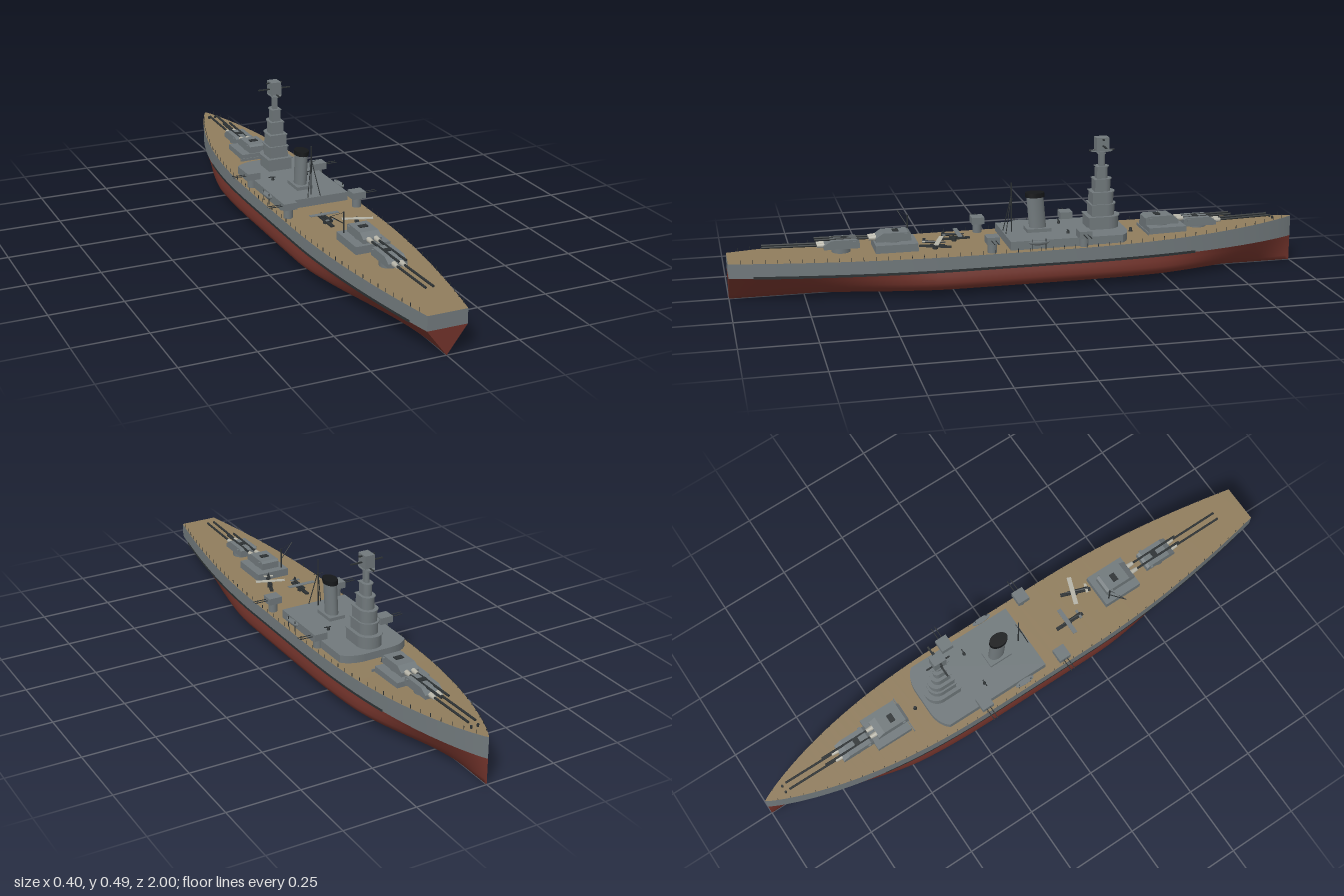
import * as THREE from 'three';
import { mergeGeometries } from 'three/addons/utils/BufferGeometryUtils.js';

const paint = (color, opts = {}) => new THREE.MeshStandardMaterial({ color, ...opts });
const grey = paint(0x70787b), dark = paint(0x2c3133), red = paint(0x70322a),
  wood = paint(0x8f7c5c), black = paint(0x151719), pale = paint(0xb4b2a6);

// Half breadth, deck height and underwater fullness along the ship (bow at -z)
const halfWidth = z => z < -0.15
  ? 0.153 * Math.max(0, 1 - ((-z - 0.15) / 0.85) ** 2.4) ** 0.9
  : 0.153 - (z > 0.25 ? 0.085 * ((z - 0.25) / 0.75) ** 1.8 : 0);
const deckY = z => 0.14 + (z < 0 ? 0.024 * z * z : 0);
const fullness = z => THREE.MathUtils.smoothstep(z, -1, -0.45) * (1 - THREE.MathUtils.smoothstep(z, 0.25, 1));

function add(parent, name, geo, mat, x = 0, y = 0, z = 0) {
  const m = new THREE.Mesh(geo, mat);
  m.name = name;
  m.position.set(x, y, z);
  parent.add(m);
  return m;
}
const box = (w, h, d) => new THREE.BoxGeometry(w, h, d);
const cyl = (r1, r2, h, n = 16) => new THREE.CylinderGeometry(r1, r2, h, n);

// Thin round bar between two points
function rod(parent, name, a, b, r, mat = dark) {
  const p = new THREE.Vector3(...a), q = new THREE.Vector3(...b), d = q.clone().sub(p);
  const m = add(parent, name, cyl(r, r, d.length(), 8), mat);
  m.position.copy(p).add(q).multiplyScalar(0.5);
  m.quaternion.setFromUnitVectors(new THREE.Vector3(0, 1, 0), d.normalize());
  return m;
}

// Skin a row of cross-sections running from z0 to z1
function skin(section, z0 = -1, z1 = 1, n = 56) {
  const pos = [], idx = [];
  let c = 0;
  for (let i = 0; i <= n; i++) {
    const z = z0 + (z1 - z0) * (i / n) ** 1.25, pts = section(z);
    c = pts.length;
    pts.forEach(([x, y]) => pos.push(x, y, z));
    for (let j = 0; i < n && j < c - 1; j++) {
      const a = i * c + j, b = a + c;
      idx.push(a, b, a + 1, b, b + 1, a + 1);
    }
  }
  const g = new THREE.BufferGeometry();
  g.setAttribute('position', new THREE.Float32BufferAttribute(pos, 3));
  g.setIndex(idx);
  g.computeVertexNormals();
  return g;
}

function buildHull(ship) {
  const full = [[1, 0.09], [1.03, 0.072], [1.05, 0.052], [1.01, 0.036], [0.88, 0.021], [0.64, 0.01], [0, 0]];
  const under = z => {
    const w = halfWidth(z), f = fullness(z);
    const half = full.map(([x, y], i) => {
      const s = 1 - i / 6;
      return [w * (s + (x - s) * f), 0.09 * s + (y - 0.09 * s) * f];
    });
    return [...half, ...half.slice(0, -1).reverse().map(([x, y]) => [-x, y])];
  };
  add(ship, 'lowerHull', skin(under), red);
  add(ship, 'deck', skin(z => [[-halfWidth(z), deckY(z)], [halfWidth(z), deckY(z)]]), wood);
  for (const s of [1, -1]) {
    const band = (lo, hi, out) => z => {
      const x = s * (halfWidth(z) + out), p = [[x, hi(z)], [x, lo]];
      return s > 0 ? p : p.reverse();
    };
    add(ship, 'hullSide', skin(band(0.09, deckY, 0)), grey);
    add(ship, 'waterlineStripe', skin(band(0.087, () => 0.096, 0.0008), -0.6, 0.92), dark);
  }
  // Flat stern
  const flat = pts => new THREE.ShapeGeometry(new THREE.Shape(pts.map(p => new THREE.Vector2(...p))));
  const w = halfWidth(1);
  add(ship, 'upperTransom', flat([[-w, 0.09], [w, 0.09], [w, 0.14], [-w, 0.14]]), grey, 0, 0, 1);
  add(ship, 'lowerTransom', flat([[0, 0], [w, 0.09], [-w, 0.09]]), red, 0, 0, 1);
  // Rail posts along the deck edge
  const posts = [];
  for (let z = -0.96; z < 1; z += 0.04) for (const s of [1, -1])
    posts.push(box(0.0015, 0.014, 0.0015).translate(s * (halfWidth(z) - 0.002), deckY(z) + 0.006, z));
  add(ship, 'railPosts', mergeGeometries(posts), dark);
}

// Twin-gun turret facing +z; flipped when dir is -1
function mainTurret(ship, y, z, dir, reach, base) {
  const t = new THREE.Group();
  t.name = 'mainTurret';
  t.position.set(0, y, z);
  if (dir < 0) t.rotation.y = Math.PI;
  ship.add(t);
  const side = new THREE.Shape([[-0.06, 0], [0.06, 0], [0.06, 0.014], [0.035, 0.03], [-0.05, 0.03], [-0.06, 0.024]]
    .map(p => new THREE.Vector2(...p)));
  const g = new THREE.ExtrudeGeometry(side, { depth: 0.066, bevelEnabled: false });
  add(t, 'gunHouse', g.translate(0, 0, -0.033).rotateY(-Math.PI / 2), grey);
  add(t, 'barbette', cyl(0.032, 0.032, base, 24), grey, 0, -base / 2, 0);
  add(t, 'rangefinder', box(0.078, 0.007, 0.01), grey, 0, 0.022, -0.042);
  add(t, 'roofHatch', box(0.03, 0.004, 0.02), dark, 0, 0.031, -0.01);
  for (const x of [-0.013, 0.013]) {
    add(t, 'gunSleeve', cyl(0.007, 0.009, 0.025).rotateX(Math.PI / 2), pale, x, 0.012, 0.07);
    rod(t, 'gunBarrel', [x, 0.012, 0.05], [x, 0.017, reach], 0.004);
  }
}

// Plan with a rounded bow end, extruded upward
function roundedTier(w, h) {
  const s = new THREE.Shape();
  s.moveTo(-w, -1.2 * w);
  s.lineTo(w, -1.2 * w);
  s.lineTo(w, 0.4 * w);
  s.absarc(0, 0.4 * w, w, 0, Math.PI);
  return new THREE.ExtrudeGeometry(s, { depth: h, bevelEnabled: false, curveSegments: 12 }).rotateX(-Math.PI / 2);
}

function buildSuperstructure(ship) {
  const s = new THREE.Shape();
  s.moveTo(-0.125, -0.06);
  s.lineTo(0.125, -0.06);
  s.lineTo(0.125, 0.335);
  s.quadraticCurveTo(0.1, 0.365, 0.05, 0.368);
  s.lineTo(-0.05, 0.368);
  s.quadraticCurveTo(-0.1, 0.365, -0.125, 0.335);
  add(ship, 'deckhouse', new THREE.ExtrudeGeometry(s, { depth: 0.035, bevelEnabled: false }).rotateX(-Math.PI / 2), grey, 0, 0.135, 0);

  // Bridge tower: stacked tiers, each with an overhanging platform
  const tower = new THREE.Group();
  tower.name = 'bridgeTower';
  tower.position.z = -0.29;
  ship.add(tower);
  [[0.044, 0.168, 0.213], [0.034, 0.213, 0.255], [0.031, 0.255, 0.298], [0.023, 0.298, 0.343],
    [0.016, 0.343, 0.387], [0.0085, 0.387, 0.44]].forEach(([w, y0, y1], i) => {
    add(tower, 'towerTier', roundedTier(w, y1 - y0), grey, 0, y0, 0);
    if (i < 5) add(tower, 'towerPlatform', roundedTier(w + 0.003, 0.003), grey, 0, y1 - 0.002, 0);
  });
  add(tower, 'upperPlatform', roundedTier(0.011, 0.003), grey, 0, 0.429, 0);
  add(tower, 'directorHead', box(0.036, 0.048, 0.045), grey, 0, 0.465, 0);
  add(tower, 'rangefinderArm', box(0.122, 0.004, 0.006), dark, 0, 0.461, 0);
  add(tower, 'rangefinderRing', cyl(0.03, 0.03, 0.003, 24), grey, 0, 0.441, 0).scale.set(0.75, 1, 1.3);
  rod(tower, 'sidewaysRangefinder', [0, 0.443, -0.045], [0, 0.443, 0.045], 0.003);
  add(tower, 'upperArm', box(0.06, 0.004, 0.006), dark, 0, 0.483, 0);

  // Raked oval funnel with a black cap
  const oval = (r, y0, y1) => {
    const g = cyl(r, r, y1 - y0, 28).scale(0.7, 1, 1).translate(0, (y0 + y1) / 2, 0), p = g.attributes.position;
    for (let i = 0; i < p.count; i++) p.setZ(i, p.getZ(i) - 0.064 + (p.getY(i) - 0.17) * 0.09);
    return g;
  };
  add(ship, 'funnel', oval(0.03, 0.165, 0.294), grey);
  add(ship, 'funnelCap', oval(0.034, 0.29, 0.306), black);
  add(ship, 'funnelBase', box(0.06, 0.016, 0.085), grey, 0, 0.174, -0.062);

  // Tripod mast
  rod(ship, 'mast', [0, 0.168, 0.03], [0, 0.345, 0.03], 0.0022);
  for (const x of [-0.024, 0.024]) rod(ship, 'mastLeg', [x, 0.168, 0.055], [0, 0.3, 0.03], 0.0015);
  rod(ship, 'mastYard', [-0.018, 0.29, 0.03], [0.018, 0.29, 0.03], 0.001);
}

function buildSideFittings(ship, s) {
  // Secondary turrets with barrels pointing outboard
  for (const z of [-0.195, 0.125]) {
    add(ship, 'secondaryPedestal', cyl(0.016, 0.016, 0.04), grey, s * 0.128, 0.155, z);
    add(ship, 'secondaryTurret', box(0.048, 0.024, 0.044), grey, s * 0.128, 0.185, z);
    for (const d of [-0.007, 0.007]) rod(ship, 'secondaryBarrel', [s * 0.15, 0.186, z + d], [s * 0.2, 0.187, z + d], 0.0016);
  }
  // Ship's boat hung on davits
  const boat = add(ship, 'shipsBoat', new THREE.SphereGeometry(1, 16, 8, 0, Math.PI * 2, Math.PI / 2, Math.PI / 2),
    paint(0x70787b, { side: THREE.DoubleSide }), s * 0.137, 0.168, -0.035);
  boat.scale.set(0.01, 0.012, 0.037);
  add(ship, 'boatCover', cyl(1, 1, 1, 16).scale(0.01, 0.002, 0.037), grey, s * 0.137, 0.168, -0.035);
  for (const z of [-0.058, -0.012]) rod(ship, 'davit', [s * 0.14, 0.14, z], [s * 0.14, 0.178, z], 0.0015);
  // Light gun mount
  add(ship, 'lightGunMount', cyl(0.004, 0.006, 0.012, 10), dark, s * 0.065, 0.175, -0.155);
  rod(ship, 'lightGun', [s * 0.055, 0.18, -0.155], [s * 0.08, 0.182, -0.155], 0.002);
  // Bow bollards and breakwater
  add(ship, 'bollard', cyl(0.004, 0.004, 0.01, 10), dark, s * 0.012, 0.165, -0.925);
  add(ship, 'breakwater', box(0.07, 0.01, 0.003), grey, s * 0.035, 0.149, -0.445);
}

function floatplane(ship, x, z, turn, wing) {
  const p = new THREE.Group();
  p.name = 'floatplane';
  p.position.set(x, 0.16, z);
  p.rotation.y = turn;
  ship.add(p);
  add(p, 'catapult', box(0.012, 0.006, 0.11), dark, 0, -0.011, 0);
  add(p, 'catapultPedestal', cyl(0.009, 0.009, 0.016), dark, 0, -0.014, 0);
  add(p, 'fuselage', cyl(0.0025, 0.006, 0.08, 12).rotateX(Math.PI / 2), dark, 0, 0.004, -0.005);
  add(p, 'wing', box(0.104, 0.002, 0.016), wing, 0, 0.009, 0.012);
  add(p, 'tailplane', box(0.034, 0.002, 0.009), wing, 0, 0.006, -0.038);
  add(p, 'tailFin', box(0.002, 0.012, 0.01), dark, 0, 0.011, -0.038);
  add(p, 'float', box(0.006, 0.005, 0.05), dark, 0, -0.005, 0.008);
}

export function createModel() {
  const ship = new THREE.Group();
  ship.name = 'battleship';
  buildHull(ship);
  buildSuperstructure(ship);

  // Main battery, the inner turret of each pair raised on a low house
  add(ship, 'forwardHouse', box(0.122, 0.028, 0.135), grey, 0, 0.153, -0.518);
  add(ship, 'aftHouse', box(0.122, 0.028, 0.145), grey, 0, 0.153, 0.437);
  mainTurret(ship, 0.157, -0.645, -1, 0.265, 0.02);
  mainTurret(ship, 0.171, -0.505, -1, 0.26, 0.015);
  mainTurret(ship, 0.171, 0.445, 1, 0.265, 0.015);
  mainTurret(ship, 0.156, 0.62, 1, 0.265, 0.025);

  for (const s of [1, -1]) buildSideFittings(ship, s);
  floatplane(ship, -0.035, 0.225, Math.PI, grey);
  floatplane(ship, 0.045, 0.305, -0.35 + Math.PI, pale);

  // Aircraft crane
  rod(ship, 'cranePost', [-0.045, 0.14, 0.385], [-0.045, 0.24, 0.385], 0.0025);
  rod(ship, 'craneJib', [-0.045, 0.2, 0.385], [-0.105, 0.244, 0.412], 0.0016);
  rod(ship, 'craneCable', [-0.045, 0.238, 0.385], [-0.105, 0.244, 0.412], 0.0006);

  // Anchor capstan ahead of the bridge
  add(ship, 'capstan', cyl(0.005, 0.007, 0.014, 12), dark, 0, 0.15, -0.4);
  return ship;
}
